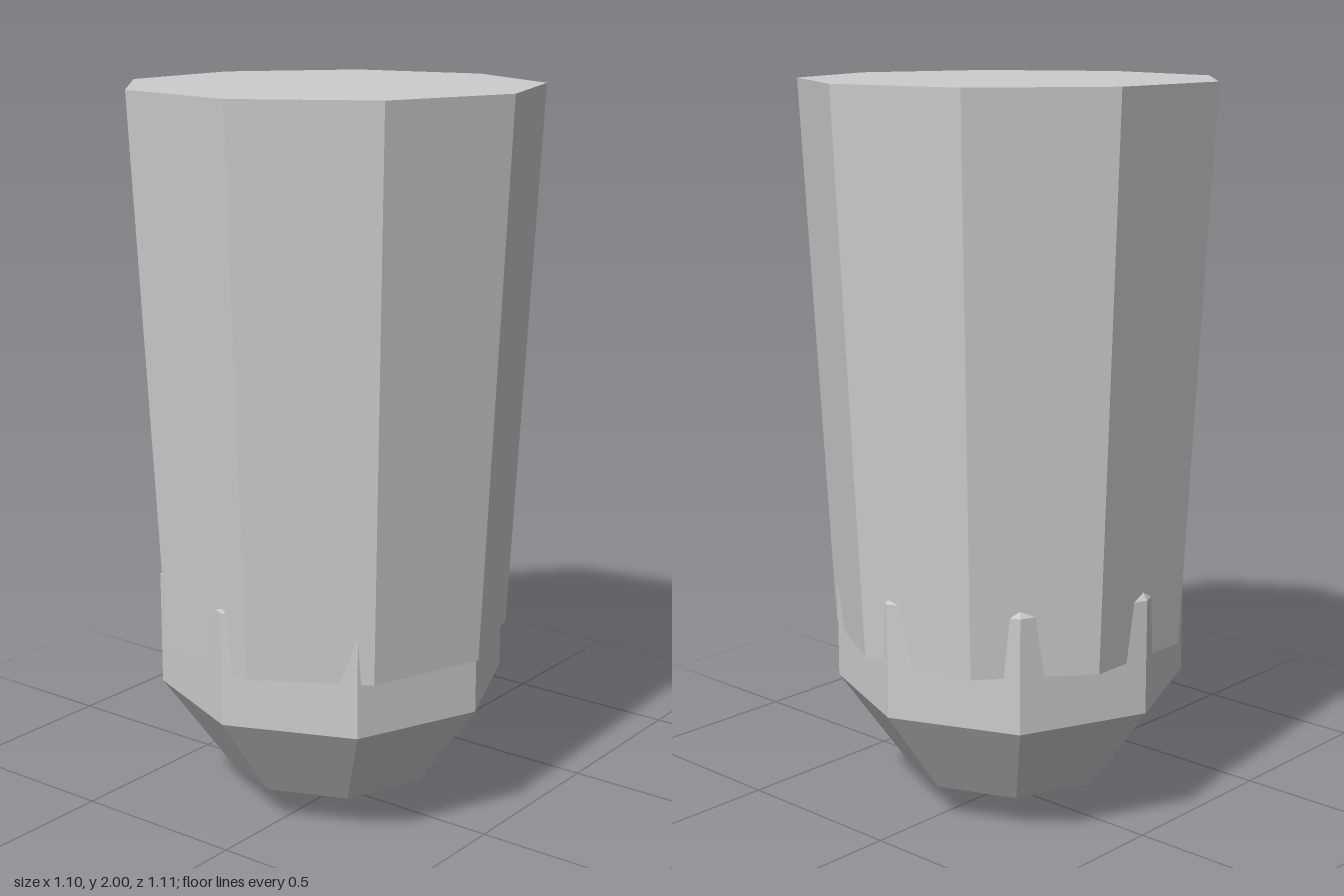
import * as THREE from 'three';

export function createModel() {
  const group = new THREE.Group();
  group.name = 'taperedPost';
  const grey = new THREE.MeshStandardMaterial({ color: 0xcccccc });
  grey.name = 'light grey';

  const add = (name, geometry, y) => {
    // Unshared corners give each facet its own flat normal
    const flat = geometry.toNonIndexed();
    flat.computeVertexNormals();
    const mesh = new THREE.Mesh(flat, grey);
    mesh.name = name;
    mesh.position.set(-0.02, y, 0);
    group.add(mesh);
  };

  // Nine-sided body, widening upwards, with one edge towards +x
  const bottom = 0.5, top = 2;
  add('body', new THREE.CylinderGeometry(0.566, 0.49, top - bottom, 9, 1, false, Math.PI / 2), (top + bottom) / 2);

  // Eight-sided ball tip; its upper corners poke through the body's sides
  const radius = 0.508;
  add('tip', new THREE.SphereGeometry(radius, 8, 5), radius);

  return group;
}
